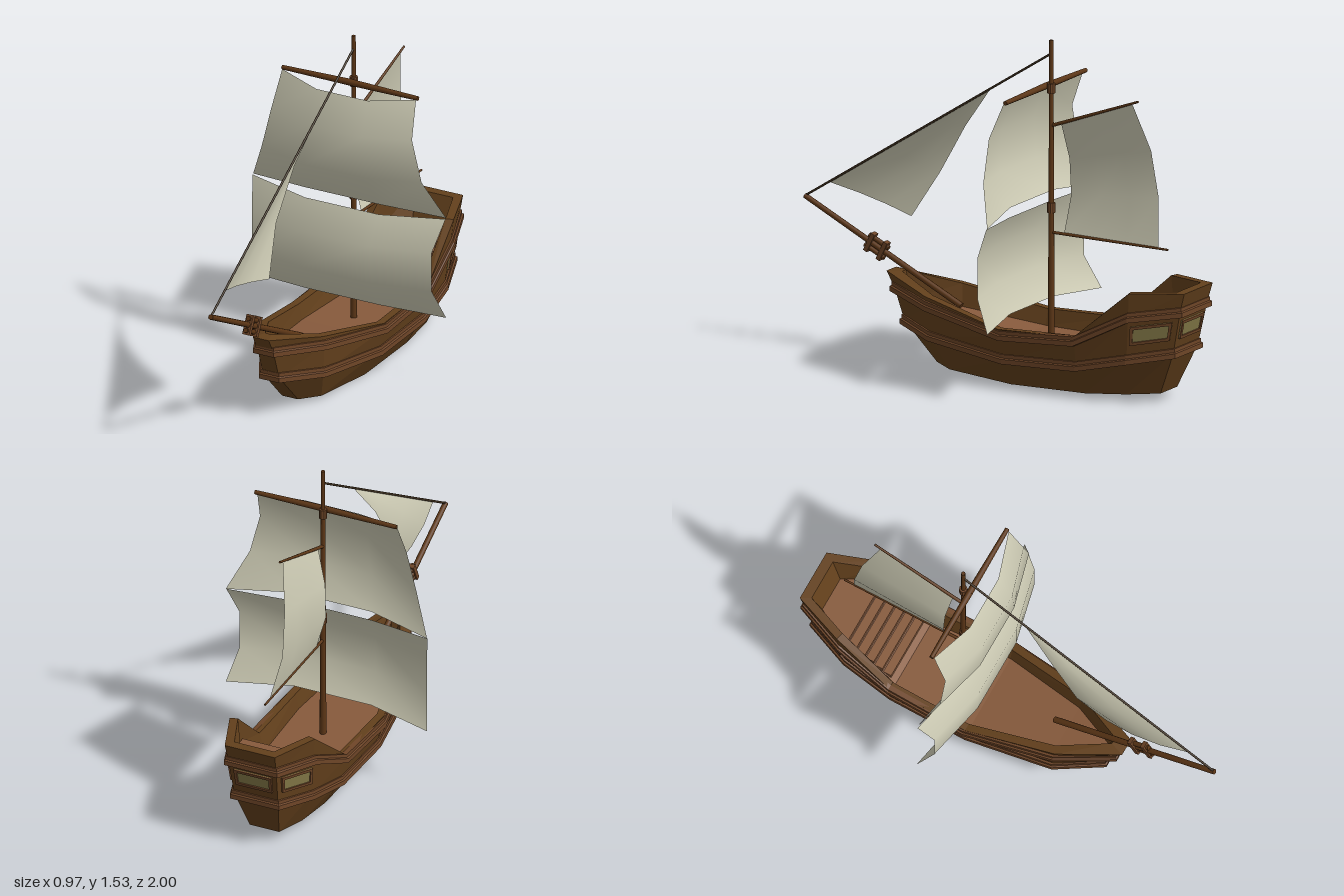
import * as THREE from 'three';

const paint = (color, extra = {}) => new THREE.MeshStandardMaterial({ color, ...extra });
const V = (x, y, z) => new THREE.Vector3(x, y, z);
const lerp = THREE.MathUtils.lerp;

export function createModel() {
  const ship = new THREE.Group();
  ship.name = 'sailingShip';
  const flat = { flatShading: true };
  const hullMat = paint(0x63401c, flat), deckMat = paint(0x875a3c, flat), trimMat = paint(0x6e4527, flat);
  const sparMat = paint(0x5c3616), ropeMat = paint(0x3a2c1c), glassMat = paint(0x857a48, flat);
  const sailMat = paint(0xcfcdb6, { side: THREE.DoubleSide });

  const add = (name, geometry, material) => {
    const mesh = new THREE.Mesh(geometry, material);
    mesh.name = name;
    ship.add(mesh);
    return mesh;
  };

  // Skin through closed rings, with optional caps on the first and last ring
  function skin(rings, capFirst = false, capLast = false) {
    const n = rings[0].length, index = [];
    for (let r = 0; r < rings.length - 1; r++) {
      for (let i = 0; i < n; i++) {
        const a = r * n + i, b = r * n + (i + 1) % n;
        index.push(a, b, b + n, a, b + n, a + n);
      }
    }
    const cap = (o, flip) => {
      for (let i = 0; i < n / 2 - 1; i++) {
        const a = o + i, b = o + i + 1, c = o + n - 2 - i, d = o + n - 1 - i;
        index.push(...(flip ? [a, c, b, a, d, c] : [a, b, c, a, c, d]));
      }
    };
    if (capFirst) cap(0, true);
    if (capLast) cap((rings.length - 1) * n, false);
    const g = new THREE.BufferGeometry().setFromPoints(rings.flat());
    g.setIndex(index);
    const out = g.toNonIndexed();
    out.computeVertexNormals();
    return out;
  }

  // Six stations from bow to stern, mirrored into a full ring
  function ring(xs, ys, zs) {
    const half = xs.map((x, i) => V(x, ys[i], zs[i]));
    return [...half, ...half.map(p => V(-p.x, p.y, p.z)).reverse()];
  }
  const keel = ring([0.04, 0.10, 0.13, 0.125, 0.11, 0.07], [0.03, 0.022, 0.005, 0.012, 0.03, 0.045], [0.30, 0.20, -0.13, -0.5, -0.7, -0.85]);
  const low = ring([0.04, 0.15, 0.20, 0.20, 0.175, 0.105], [0.195, 0.17, 0.13, 0.145, 0.20, 0.24], [0.465, 0.27, -0.13, -0.5, -0.74, -0.935]);
  const high = ring([0.04, 0.16, 0.225, 0.22, 0.195, 0.115], [0.335, 0.305, 0.24, 0.262, 0.395, 0.43], [0.515, 0.28, -0.13, -0.5, -0.76, -0.975]);
  const rail = ring([0.04, 0.16, 0.23, 0.225, 0.205, 0.12], [0.405, 0.35, 0.272, 0.285, 0.51, 0.52], [0.555, 0.29, -0.12, -0.5, -0.77, -1]);
  const inner = ring([0.015, 0.125, 0.195, 0.19, 0.17, 0.095], [0.405, 0.35, 0.272, 0.285, 0.51, 0.52], [0.49, 0.27, -0.12, -0.5, -0.76, -0.955]);
  const floor = ring([0.015, 0.11, 0.18, 0.165, 0.155, 0.08], [0.28, 0.25, 0.2, 0.2, 0.4, 0.4], [0.46, 0.26, -0.12, -0.5, -0.78, -0.91]);
  add('hull', skin([keel, low, high, rail, inner, floor], true), hullMat);
  add('deck', skin([floor], false, true), deckMat);

  // Steps up to the stern deck
  for (let i = 0; i < 6; i++) {
    const step = add('step', new THREE.BoxGeometry(0.31, 0.05, 0.045), deckMat);
    step.position.set(0, 0.222 + i * 0.031, -0.55 - i * 0.043);
  }

  // Two-tier mouldings that follow the hull
  function band(name, base) {
    const n = base.length;
    const edge = (i, j) => V(-(base[j].z - base[i].z), 0, base[j].x - base[i].x).normalize();
    const normals = base.map((p, i) => {
      const a = edge((i + n - 1) % n, i), b = edge(i, (i + 1) % n);
      const m = a.clone().add(b).normalize();
      return m.divideScalar(Math.max(0.5, m.dot(a)));
    });
    const profile = [[-0.012, -0.02], [0.018, -0.016], [0.018, 0.006], [0.011, 0.01], [0.011, 0.026], [-0.012, 0.028]];
    const rings = profile.map(([out, up]) => base.map((p, i) => p.clone().addScaledVector(normals[i], out).add(V(0, up, 0))));
    add(name, skin(rings), trimMat);
  }
  band('lowerMoulding', low);
  band('upperMoulding', high);

  // Stern windows: glass panel inside four raised bars
  function panel(name, i, [u0, u1, v0, v1], depth, material) {
    const at = (u, v) => low[i].clone().lerp(low[i + 1], u).lerp(high[i].clone().lerp(high[i + 1], u), v);
    const base = [at(u0, v0), at(u1, v0), at(u1, v1), at(u0, v1)];
    const normal = base[1].clone().sub(base[0]).cross(base[3].clone().sub(base[0])).normalize();
    const lift = d => base.map(p => p.clone().addScaledVector(normal, d));
    add(name, skin([lift(-0.01), lift(depth)], false, true), material);
  }
  for (const i of [4, 5, 6]) {
    const [a, b] = i === 4 ? [0.05, 0.88] : i === 5 ? [0.1, 0.9] : [0.12, 0.95];
    const c = 0.36, d = 0.8;
    panel('windowGlass', i, [a, b, c, d], 0.004, glassMat);
    panel('windowFrame', i, [a, b, c, c + 0.07], 0.01, trimMat);
    panel('windowFrame', i, [a, b, d - 0.07, d], 0.01, trimMat);
    panel('windowFrame', i, [a, a + 0.06, c, d], 0.01, trimMat);
    panel('windowFrame', i, [b - 0.06, b, c, d], 0.01, trimMat);
  }

  // Round spar or rope between two points
  function rod(name, a, b, r0, r1, material = sparMat) {
    const dir = b.clone().sub(a);
    const mesh = add(name, new THREE.CylinderGeometry(r1, r0, dir.length(), 10), material);
    mesh.position.copy(a).lerp(b, 0.5);
    mesh.quaternion.setFromUnitVectors(V(0, 1, 0), dir.normalize());
    return mesh;
  }
  const mastZ = -0.255;
  rod('mast', V(0, 0.19, mastZ), V(0, 1.535, mastZ), 0.015, 0.009);
  for (const y of [1.32, 0.785]) rod('mastCollar', V(0, y - 0.022, mastZ), V(0, y + 0.022, mastZ), 0.018, 0.018, trimMat);
  for (const s of [1, -1]) rod('yard', V(0, 1.325, -0.225), V(s * 0.34, 1.322, -0.225), 0.015, 0.01);
  rod('gaff', V(0, 1.152, mastZ), V(0, 1.316, -0.695), 0.008, 0.005);
  rod('boom', V(0, 0.675, mastZ), V(0, 0.672, -0.845), 0.007, 0.005);

  // Bowsprit with a lashed doubling
  const heel = V(0, 0.285, 0.2), tip = V(0, 0.68, 0.992);
  tip.y = 0.676;
  rod('bowsprit', heel, tip, 0.014, 0.012);
  const along = tip.clone().sub(heel).normalize();
  const across = V(0, along.z, -along.y);
  for (const s of [1, -1]) {
    const mid = heel.clone().lerp(tip, 0.54).addScaledVector(across, s * 0.026);
    rod('bowspritDoubling', mid.clone().addScaledVector(along, -0.055), mid.clone().addScaledVector(along, 0.055), 0.011, 0.011);
  }
  for (const t of [0.5, 0.58]) {
    const collar = add('bowspritCollar', new THREE.BoxGeometry(0.034, 0.09, 0.02), trimMat);
    collar.position.copy(heel).lerp(tip, t);
    collar.rotation.x = -Math.atan2(along.y, along.z);
  }
  rod('forestay', V(0, 0.68, 0.985), V(0, 1.475, mastZ), 0.005, 0.005, ropeMat);

  // Sails: a 3 x 3 sheet, f(column, row) gives each point, row 0 on top
  function sail(name, f) {
    const g = new THREE.PlaneGeometry(1, 1, 3, 3);
    for (let r = 0; r < 4; r++) for (let c = 0; c < 4; c++) g.attributes.position.setXYZ(r * 4 + c, ...f(c, r));
    g.computeVertexNormals();
    add(name, g, sailMat);
  }
  const edgeZ = [-0.215, -0.15, -0.15, -0.22];
  function squareSail(name, halfWidths, edgeY, midY) {
    sail(name, (c, r) => {
      const mid = c === 1 || c === 2;
      return [halfWidths[r] * (c / 1.5 - 1) * (mid ? 1.15 : 1), mid ? midY[r] : edgeY[r], edgeZ[r] + (mid ? 0.063 : 0)];
    });
  }
  squareSail('upperSquareSail', [0.335, 0.352, 0.4, 0.483], [1.318, 1.155, 0.965, 0.788], [1.293, 1.145, 0.955, 0.812]);
  squareSail('lowerSquareSail', [0.483, 0.45, 0.45, 0.483], [0.785, 0.64, 0.46, 0.315], [0.766, 0.635, 0.465, 0.335]);

  // Triangular head sail on the stay
  const leech = [[0, 1.28, 0.05], [-0.035, 1.085, 0.2], [-0.05, 0.86, 0.335], [-0.012, 0.65, 0.46]];
  sail('headSail', (c, r) => {
    const u = c / 3, v = r / 3, [x, y, z] = leech[r];
    const belly = -0.02 * Math.sin(Math.PI * u) * v;
    return [x * u + belly, lerp(lerp(1.28, 0.752, v), y, u), lerp(lerp(0.05, 0.865, v), z, u)];
  });

  // Four-sided sail between gaff and boom
  const luffZ = [-0.305, -0.322, -0.327, -0.32], leechZ = [-0.665, -0.735, -0.77, -0.797];
  const belly = [0, -0.042, -0.048, 0];
  sail('gaffSail', (c, r) => {
    const u = c / 3, v = r / 3;
    return [belly[r], lerp(lerp(1.168, 1.302, u), 0.677, v), lerp(luffZ[r], leechZ[r], u)];
  });

  return ship;
}
